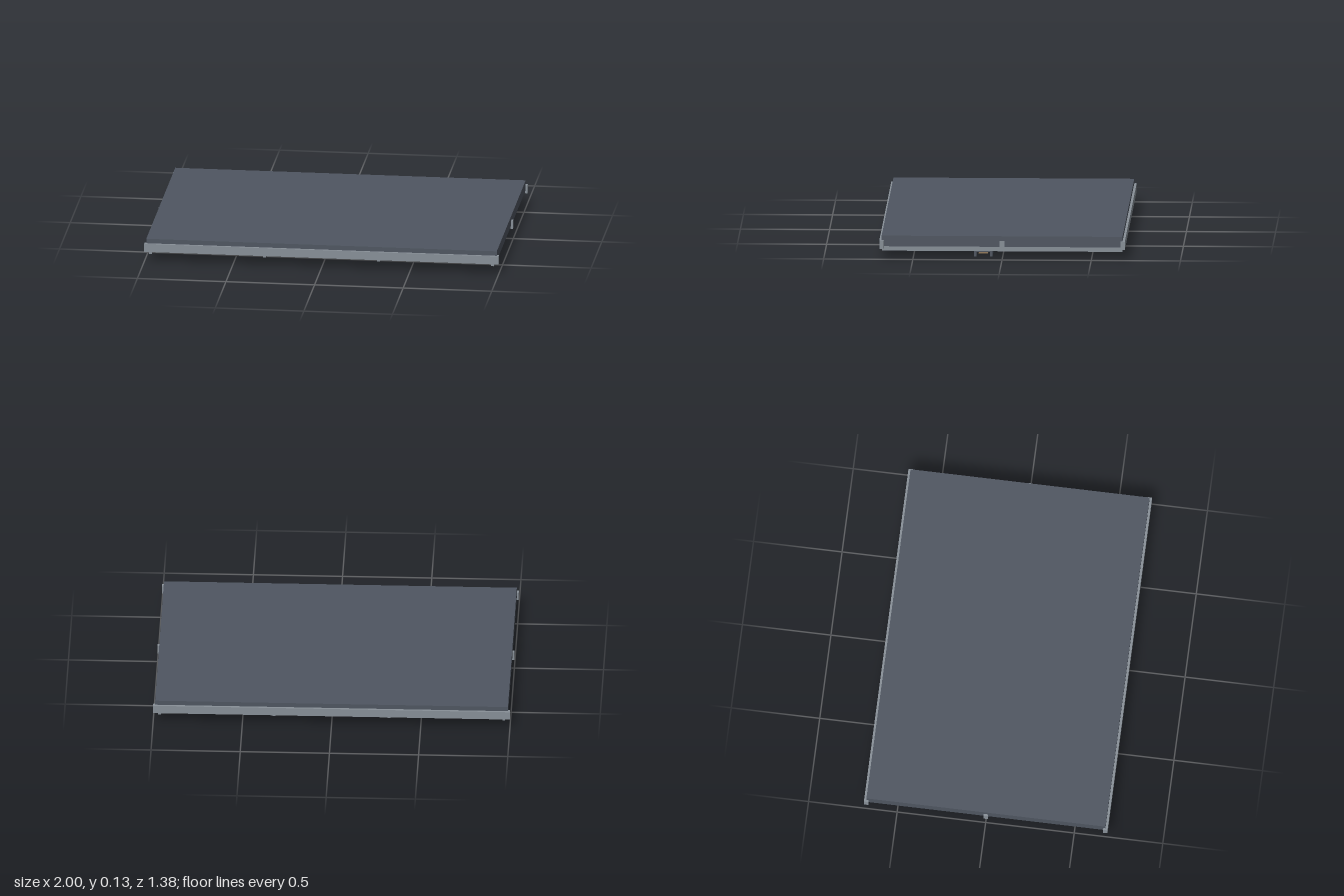
import * as THREE from 'three';

const mat = (name, color) => {
  const m = new THREE.MeshStandardMaterial({ color });
  m.name = name;
  return m;
};

export function createModel() {
  const slate = mat('slate', 0x4f5661);
  const steel = mat('steel', 0x889098);
  const timber = mat('timber', 0x8b7355);
  const model = new THREE.Group();

  // box given by its limits on each axis
  const box = (name, material, [x0, x1], [y0, y1], [z0, z1]) => {
    const mesh = new THREE.Mesh(new THREE.BoxGeometry(x1 - x0, y1 - y0, z1 - z0), material);
    mesh.position.set((x0 + x1) / 2, (y0 + y1) / 2, (z0 + z1) / 2);
    mesh.name = name;
    model.add(mesh);
  };
  const span = (a, b, side) => (side > 0 ? [a, b] : [-b, -a]);

  // deck slab with a slightly inset base
  const W = 0.989, D = 0.675;
  box('deck', slate, [-W, W], [0.077, 0.133], [-D, D]);
  box('deckBase', slate, [-0.985, 0.985], [0.072, 0.077], [-D, D]);

  // underside board, held between the outer battens
  box('underBoard', timber, [-0.96, 0.96], [0.07, 0.073], [-0.673, 0.673]);

  for (const s of [-1, 1]) {
    // long edge rails, and brackets at their ends
    box('edgeRail', steel, [-0.988, 0.988], [0.06, 0.107], span(0.675, 0.688, s));
    for (const t of [-1, 1]) {
      box('cornerBracket', steel, span(0.988, 1, t), [0.06, 0.107], span(0.663, 0.688, s));
    }
    // bracket halfway along each short side
    box('sideBracket', steel, span(0.985, 1, s), [0.06, 0.107], [-0.013, 0.013]);
    // cross battens
    box('outerBatten', steel, span(0.957, 0.973, s), [0.045, 0.072], [-D, D]);
    box('innerBatten', steel, span(0.314, 0.33, s), [0.048, 0.072], [-D, D]);
  }

  // downward-facing channel on its mounting plate, with a strip inside
  box('channelMount', slate, [-0.91, 0.91], [0.051, 0.071], [0.062, 0.155]);
  box('channelWeb', slate, [-0.87, 0.87], [0.024, 0.051], [0.068, 0.149]);
  box('channelFrontWall', slate, [-0.885, 0.885], [0, 0.04], [0.147, 0.16]);
  box('channelBackWall', slate, [-0.885, 0.885], [0, 0.04], [0.057, 0.07]);
  box('channelStrip', timber, [-0.87, 0.87], [0.014, 0.02], [0.083, 0.135]);

  return model;
}
